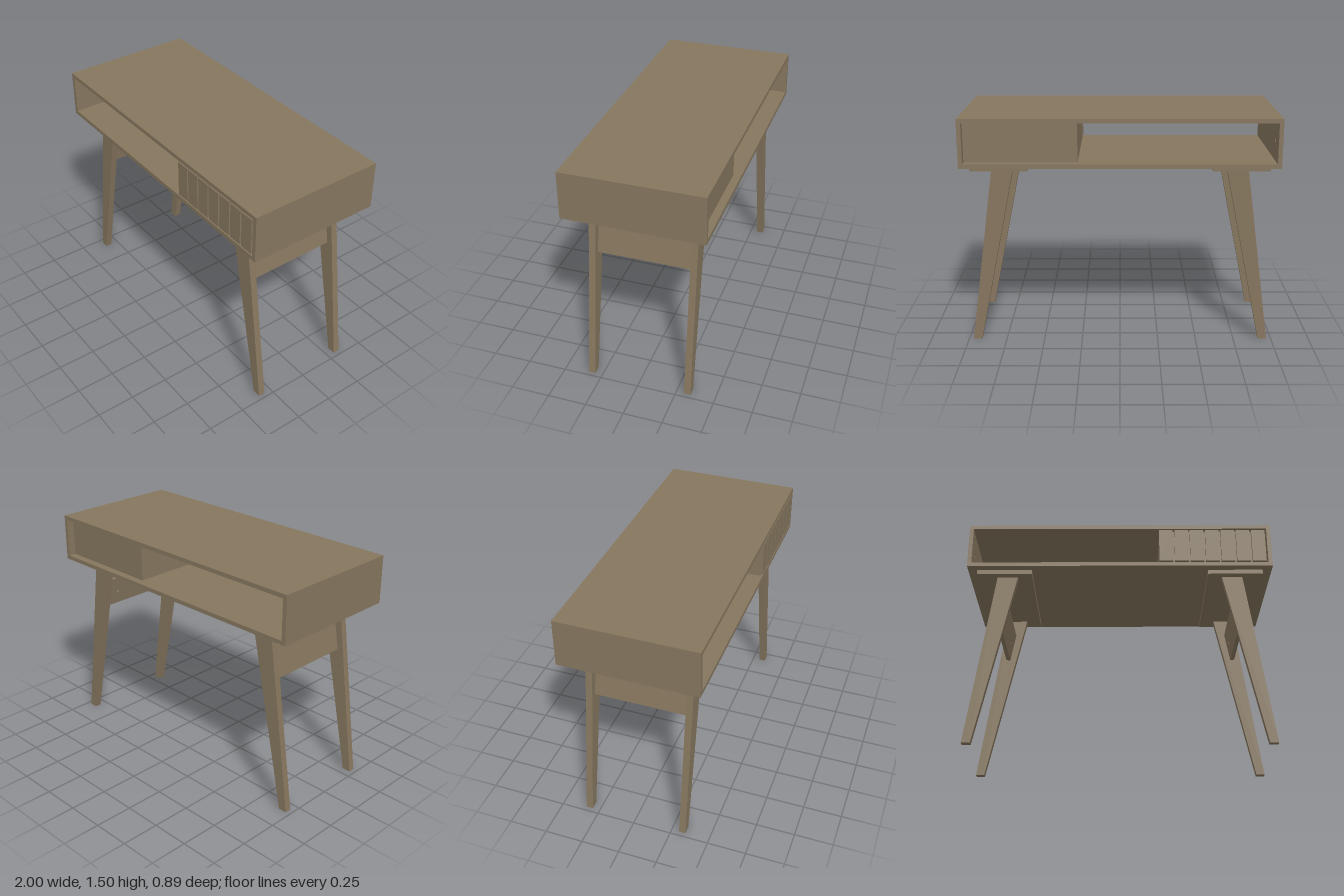
import * as THREE from 'three';

export function createModel() {
  const wood = new THREE.MeshStandardMaterial({ color: 0x86765e });
  wood.name = 'wood';
  const desk = new THREE.Group();
  desk.name = 'desk';

  const add = (name, geometry, parent = desk) => {
    const mesh = new THREE.Mesh(geometry, wood);
    mesh.name = name;
    parent.add(mesh);
    return mesh;
  };
  // Box given by its lower and upper limits on each axis
  const box = (name, [x0, x1], [y0, y1], [z0, z1], parent = desk) => {
    const mesh = add(name, new THREE.BoxGeometry(x1 - x0, y1 - y0, z1 - z0), parent);
    mesh.position.set((x0 + x1) / 2, (y0 + y1) / 2, (z0 + z1) / 2);
    return mesh;
  };
  // Upright board along z, thickness on x, with blind screw holes in its inner face
  const drilledBoard = (name, length, height, thick, holeZ, radius, side) => {
    const board = new THREE.Group();
    board.name = name;
    const l = length / 2, h = height / 2, t = thick / 2;
    const shape = new THREE.Shape([[-l, -h], [l, -h], [l, h], [-l, h]].map(p => new THREE.Vector2(...p)));
    for (const z of [-holeZ, holeZ]) {
      shape.holes.push(new THREE.Path().absarc(z, 0, radius, 0, Math.PI * 2, true));
    }
    const skin = new THREE.ExtrudeGeometry(shape, { depth: t, bevelEnabled: false, curveSegments: 8 });
    skin.rotateY(-side * Math.PI / 2);
    add(name + 'InnerFace', skin, board);
    box(name + 'Core', side > 0 ? [0, t] : [-t, 0], [-h, h], [-l, l], board);
    desk.add(board);
    return board;
  };

  const D = 0.443, T = 0.027, bottom = 1.185, top = 1.495;

  // Open case
  box('deskTop', [-1, 1], [top - T, top], [-D, D]);
  box('caseFloor', [-1, 1], [bottom, bottom + T], [-D, D]);
  for (const s of [-1, 1]) {
    const wall = drilledBoard('caseSide', 2 * D, top - bottom - 2 * T, T, 0.32, 0.014, s);
    wall.position.set(s * (1 - T / 2), (top + bottom) / 2, 0);
  }

  // Drawer compartment
  box('divider', [0.264, 0.29], [bottom + T, top - T], [-D + 0.05, D - 0.025]);
  box('compartmentBack', [0.29, 1 - T], [bottom + T, top - T], [-D + 0.05, -D + 0.07]);

  // Drawer front with seven raised slats
  box('drawerFront', [0.26, 0.962], [1.222, 1.458], [D - 0.04, D - 0.02]);
  const slats = 7, gap = 0.012, slatWidth = (0.702 - gap * (slats - 1)) / slats;
  for (let i = 0; i < slats; i++) {
    const x = 0.26 + i * (slatWidth + gap);
    box('drawerSlat', [x, x + slatWidth], [1.222, 1.458], [D - 0.02, D]);
  }

  // Splayed leg frames
  const legTop = 1.155;
  for (const s of [-1, 1]) {
    box('mountingPlate', s > 0 ? [0.58, 0.94] : [-0.94, -0.58], [legTop, bottom], [-0.388, 0.388]);

    const outline = [[0.675, legTop], [0.915, 0], [0.97, 0], [0.81, legTop]];
    const legShape = new THREE.Shape(outline.map(([x, y]) => new THREE.Vector2(s * x, y)));
    for (const z of [-0.343, 0.3]) {
      const leg = add('leg', new THREE.ExtrudeGeometry(legShape, { depth: 0.043, bevelEnabled: false }));
      leg.position.z = z;
    }

    // Stretcher leaning with the legs
    const stretcher = drilledBoard('stretcher', 0.6, 0.2, 0.028, 0.2, 0.014, s);
    stretcher.position.set(s * 0.779, 0.946, 0);
    stretcher.rotation.z = s * 0.17;
  }
  return desk;
}
